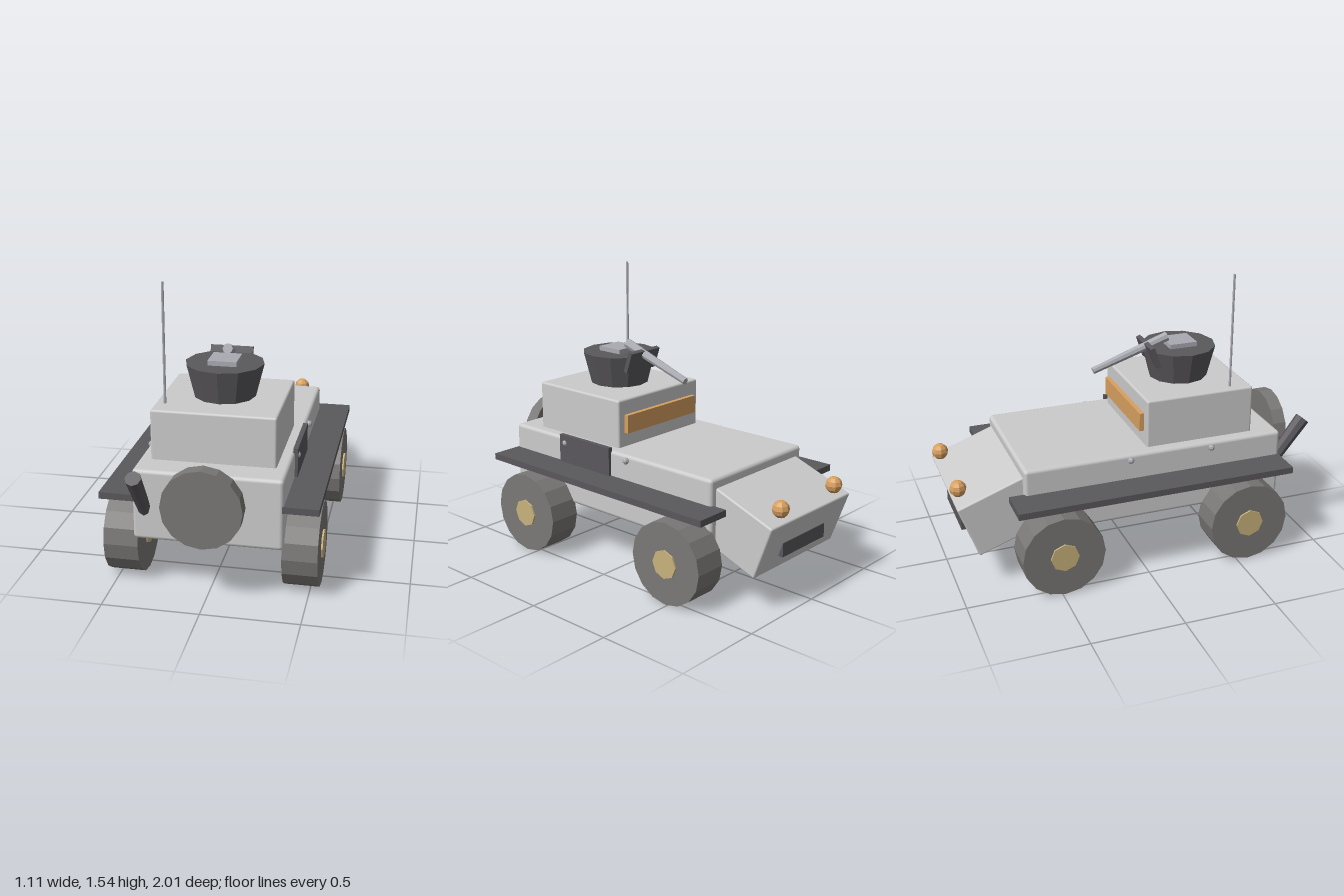
import * as THREE from 'three';
import { RoundedBoxGeometry } from 'three/addons/geometries/RoundedBoxGeometry.js';

const paint = (color, flatShading = true) => new THREE.MeshStandardMaterial({ color, flatShading });

export function createModel() {
  const model = new THREE.Group();
  const armour = paint(0xcccccc, false);
  const steel = paint(0xaaaab2);
  const dark = paint(0x5a585c);
  const rubber = paint(0x7a7876);
  const brass = paint(0xc8b27c);
  const amber = paint(0xd8a060);

  const add = (name, geometry, material, x, y, z, parent = model) => {
    const mesh = new THREE.Mesh(geometry, material);
    mesh.name = name;
    mesh.position.set(x, y, z);
    parent.add(mesh);
    return mesh;
  };
  const box = (w, h, d) => new THREE.BoxGeometry(w, h, d);
  const rounded = (w, h, d, r) => new RoundedBoxGeometry(w, h, d, 2, r);
  // Cylinder running along x or z
  const discX = (r, w, sides) => new THREE.CylinderGeometry(r, r, w, sides).rotateZ(Math.PI / 2);
  const discZ = (r, w, sides) => new THREE.CylinderGeometry(r, r, w, sides).rotateX(Math.PI / 2);

  // Body: hull, sloping nose, cabin
  add('hull', rounded(0.76, 0.375, 1.45, 0.02), armour, 0, 0.47, 0.085);
  const nose = add('nose', rounded(0.68, 0.307, 0.45, 0.01), armour, 0, 0.412, -0.723);
  nose.rotation.x = -0.35;
  add('grille', box(0.36, 0.075, 0.04), dark, 0, 0.31, -0.92);
  add('cabin', rounded(0.64, 0.28, 0.61, 0.012), armour, 0, 0.78, 0.355);
  add('visionSlit', box(0.55, 0.1, 0.04), amber, 0, 0.785, 0.045);

  // Parts repeated on both sides
  for (const side of [-1, 1]) {
    add('fender', box(0.195, 0.035, 1.525), dark, side * 0.457, 0.502, 0.043);
    add('headlamp', new THREE.SphereGeometry(0.045, 8, 6), amber, side * 0.23, 0.548, -0.955);
    for (const z of [0.395, -0.065])
      add('bolt', new THREE.SphereGeometry(0.018, 8, 6), steel, side * 0.388, 0.63, z);
    for (const z of [0.562, -0.485]) {
      const wheel = new THREE.Group();
      wheel.name = 'wheel';
      wheel.position.set(side * 0.458, 0.222, z);
      add('tyre', discX(0.222, 0.18, 16), rubber, 0, 0, 0, wheel);
      add('hub', discX(0.077, 0.198, 8), brass, 0, 0, 0, wheel);
      model.add(wheel);
    }
  }

  // Single side panel
  add('sidePanel', box(0.025, 0.245, 0.38), dark, 0.383, 0.553, 0.243);

  // Turret with hatch
  add('turret', new THREE.CylinderGeometry(0.205, 0.16, 0.18, 12), dark, 0, 1.005, 0.352);
  add('hatch', box(0.15, 0.03, 0.155), steel, 0, 1.105, 0.355);

  // Gun and shield share one downward tilt
  const gun = new THREE.Group();
  gun.name = 'gun';
  gun.position.set(0, 1.072, 0.072);
  gun.rotation.x = -0.33;
  const barrel = new THREE.CylinderGeometry(0.027, 0.019, 0.45, 8).rotateX(Math.PI / 2);
  add('barrel', barrel, steel, 0, 0, 0, gun);
  add('shield', box(0.225, 0.12, 0.025), dark, 0, -0.038, 0.1, gun);
  model.add(gun);

  // Antenna, spare wheel, exhaust
  add('antenna', new THREE.CylinderGeometry(0.007, 0.007, 0.65, 6), steel, -0.27, 1.22, 0.545);
  add('spareWheel', discZ(0.205, 0.075, 16), rubber, 0, 0.53, 0.908);
  const exhaust = add('exhaust', new THREE.CylinderGeometry(0.041, 0.032, 0.37, 8), dark, -0.322, 0.538, 0.863);
  exhaust.rotation.x = 0.65;

  return model;
}
